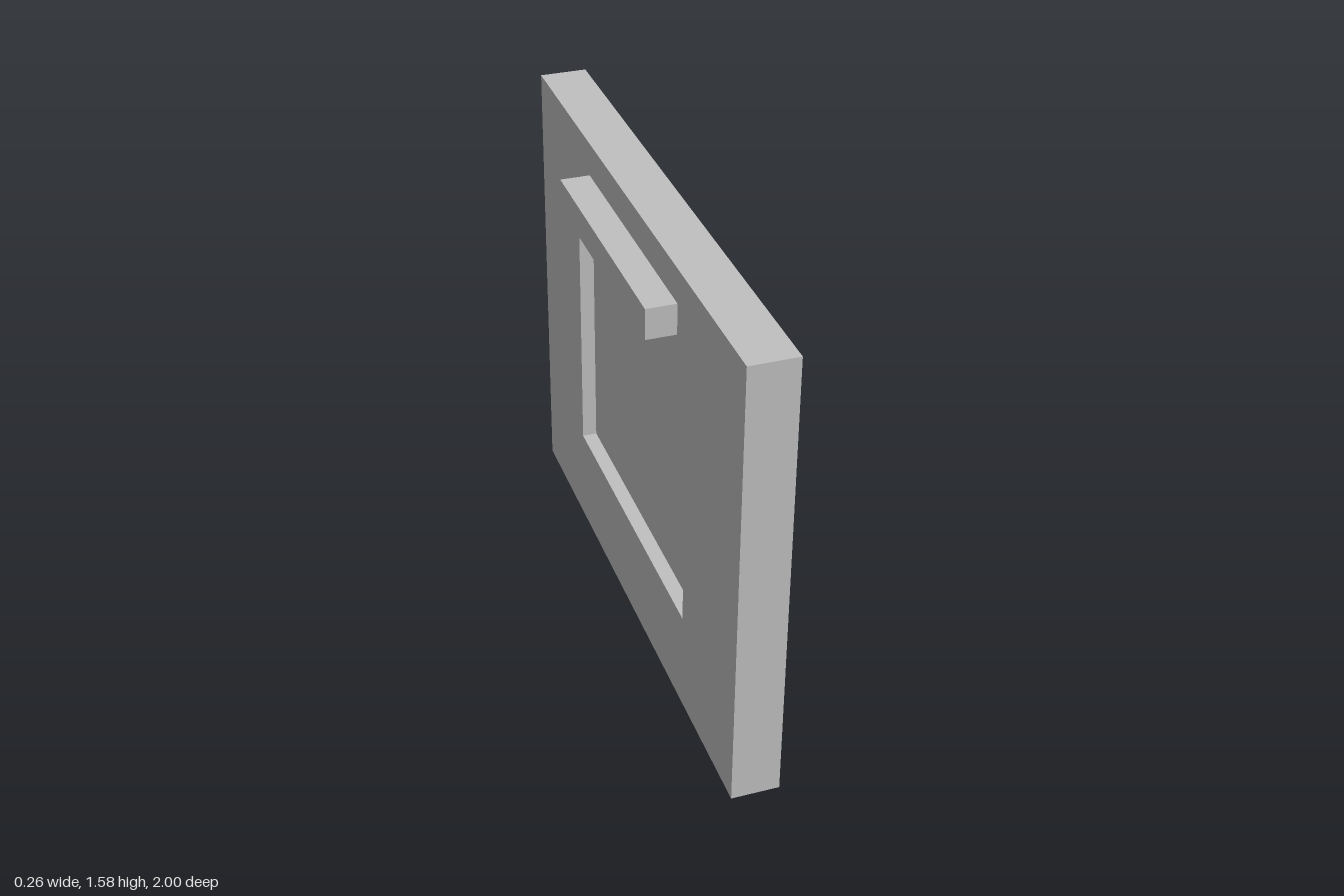
import * as THREE from 'three';

export function createModel() {
  const model = new THREE.Group();
  const grey = new THREE.MeshStandardMaterial({ color: 0xc0c0c0 });
  grey.name = 'lightGrey';

  const add = (name, geometry) => {
    const mesh = new THREE.Mesh(geometry, grey);
    mesh.name = name;
    model.add(mesh);
  };

  // Box given by its lower and upper bounds on each axis
  const box = (name, [x0, x1], [y0, y1], [z0, z1]) =>
    add(name, new THREE.BoxGeometry(x1 - x0, y1 - y0, z1 - z0)
      .translate((x0 + x1) / 2, (y0 + y1) / 2, (z0 + z1) / 2));

  // Upright wall with a rectangular opening, drawn in (-z, y) and extruded along x
  const opening = { y: [0.35, 1.245], z: [-0.565, 0.53] };
  const rectangle = (Type, [y0, y1], [z0, z1]) => new Type([
    new THREE.Vector2(-z1, y0), new THREE.Vector2(-z0, y0),
    new THREE.Vector2(-z0, y1), new THREE.Vector2(-z1, y1),
  ]);
  const outline = rectangle(THREE.Shape, [0, 1.58], [-1, 1]);
  outline.holes.push(rectangle(THREE.Path, opening.y, opening.z));
  add('wallPanel', new THREE.ExtrudeGeometry(outline, { depth: 0.16, bevelEnabled: false })
    .rotateY(Math.PI / 2).translate(-0.03, 0, 0));

  // Pane filling the opening, slightly recessed outside and deeper inside
  box('windowPane', [0.02, 0.122], opening.y, opening.z);

  // Rail above the opening on the inner face
  box('rail', [-0.13, -0.03], [1.36, 1.465], [-0.43, 0.445]);

  return model;
}
